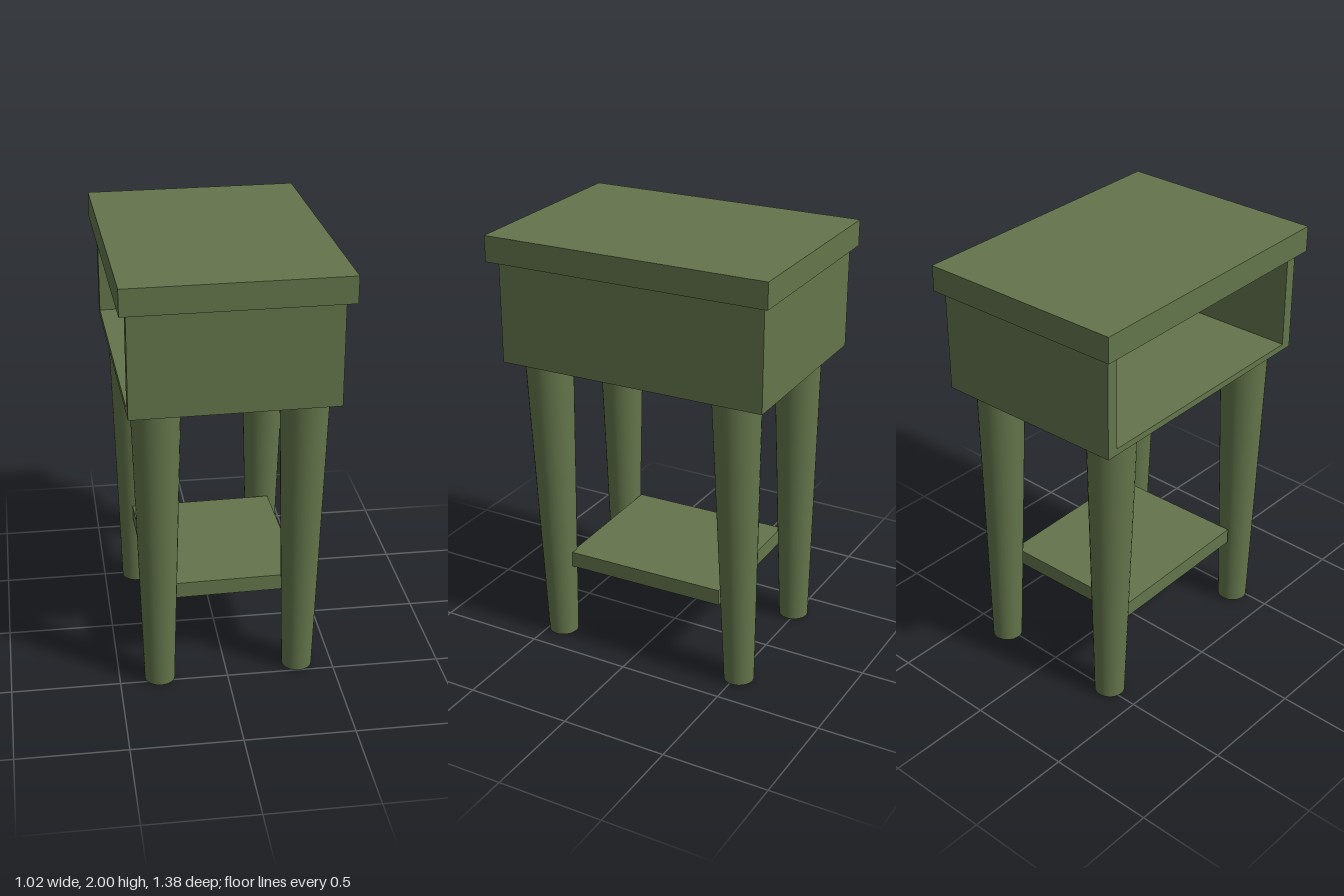
import * as THREE from 'three';

export function createModel() {
  const group = new THREE.Group();
  group.name = 'sideTable';
  // whole table stands slightly turned
  const table = new THREE.Group();
  table.name = 'table';
  table.rotation.y = 0.0255;
  group.add(table);

  const paint = new THREE.MeshStandardMaterial({ color: 0x64754b });
  paint.name = 'olive green paint';

  function box(name, x0, x1, y0, y1, z0, z1) {
    const mesh = new THREE.Mesh(new THREE.BoxGeometry(x1 - x0, y1 - y0, z1 - z0), paint);
    mesh.name = name;
    mesh.position.set((x0 + x1) / 2, (y0 + y1) / 2, (z0 + z1) / 2);
    table.add(mesh);
  }

  box('tableTop', -0.492, 0.492, 1.88, 2, -0.677, 0.677);

  // compartment, open on the -x side
  const X0 = -0.461, X1 = 0.455, Z0 = -0.647, Z1 = 0.633, wall = 0.055;
  const floor = 1.435;
  box('compartmentFloor', X0, X1, 1.405, floor, Z0, Z1);
  box('compartmentSide', X1 - wall, X1, floor, 1.88, Z0, Z1);
  box('compartmentFront', X0, X1 - wall, floor, 1.88, Z1 - wall, Z1);
  box('compartmentBack', X0, X1 - wall, floor, 1.88, Z0, Z0 + wall);

  // lower shelf between the legs
  box('lowerShelf', -0.345, 0.345, 0.37, 0.445, -0.405, 0.375);

  // tapered legs, each leaning a little: side, top z, foot z
  const legs = [
    ['frontLeftLeg', 1, 0.47, 0.44],
    ['frontRightLeg', -1, 0.47, 0.46],
    ['backLeftLeg', 1, -0.47, -0.506],
    ['backRightLeg', -1, -0.47, -0.494],
  ];
  const up = new THREE.Vector3(0, 1, 0);
  for (const [name, side, topZ, footZ] of legs) {
    const top = new THREE.Vector3(side * 0.326, 1.4, topZ);
    const foot = new THREE.Vector3(side * 0.326, 0.003, footZ);
    const axis = top.clone().sub(foot);
    const leg = new THREE.Mesh(new THREE.CylinderGeometry(0.11, 0.07, axis.length(), 32), paint);
    leg.name = name;
    leg.position.copy(top).add(foot).multiplyScalar(0.5);
    leg.quaternion.setFromUnitVectors(up, axis.normalize());
    table.add(leg);
  }
  return group;
}
